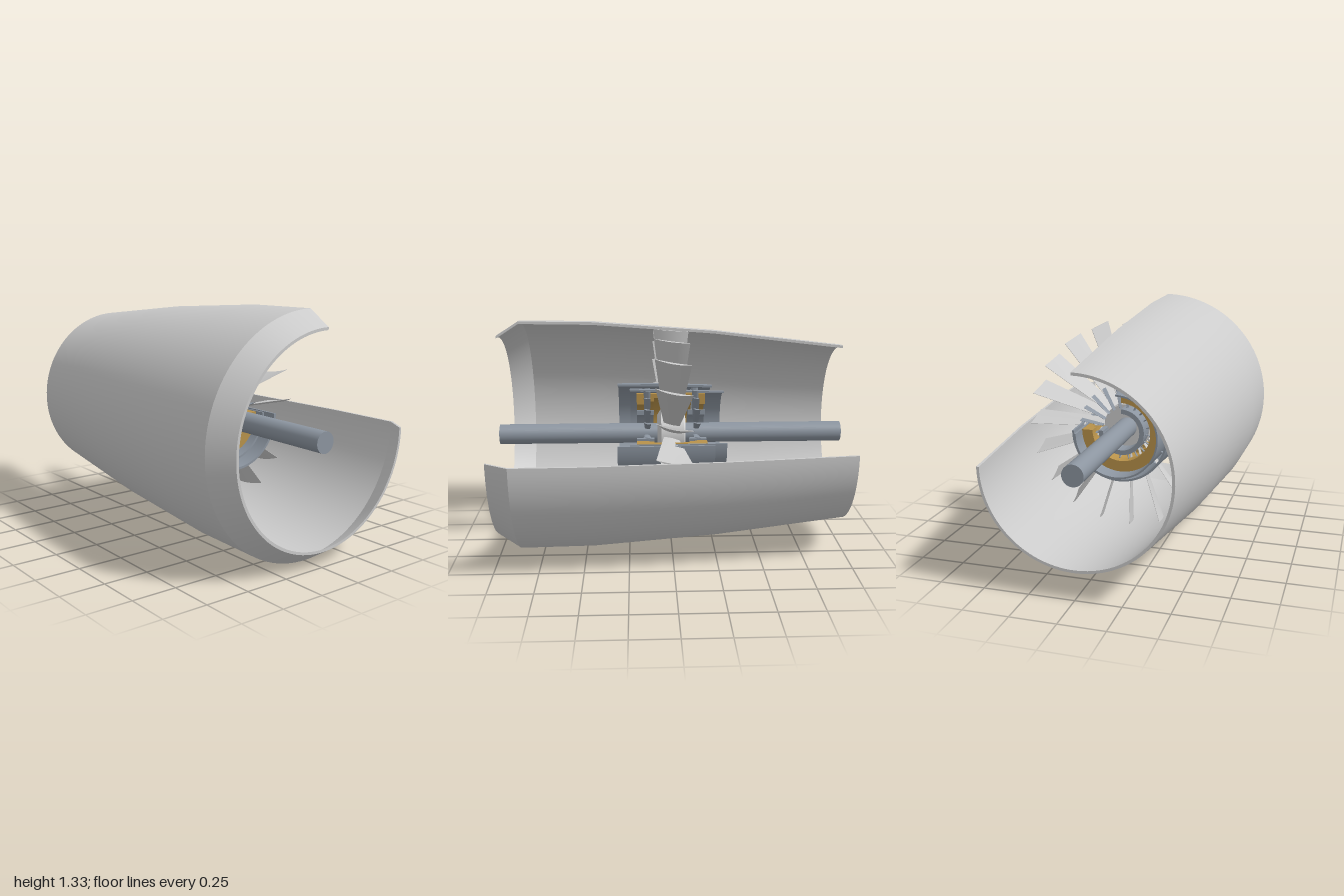
import * as THREE from 'three';
import { toCreasedNormals } from 'three/addons/utils/BufferGeometryUtils.js';

const material = (color) => new THREE.MeshStandardMaterial({ color, side: THREE.DoubleSide });
const grey = material(0xcccccc);
const steel = material(0x8c95a0);
const gold = material(0xb8924a);

function mesh(name, geometry, mat) {
  const m = new THREE.Mesh(geometry, mat);
  m.name = name;
  return m;
}

// Three-quarter ring around z from a closed [radius, z] section, upper +x quarter cut away
function cutRing(name, section, mat, segments = 72) {
  const group = new THREE.Group();
  group.name = name;
  const pts = section.map(([r, z]) => new THREE.Vector2(r, z));
  const wall = new THREE.LatheGeometry([...pts, pts[0].clone()], segments, Math.PI, Math.PI * 1.5);
  wall.rotateX(Math.PI / 2);
  group.add(mesh(name + 'Wall', toCreasedNormals(wall, 0.4), mat));
  for (const angle of [0, Math.PI / 2]) {
    const cap = new THREE.ShapeGeometry(new THREE.Shape(pts));
    cap.rotateX(Math.PI / 2).rotateZ(angle);
    group.add(mesh(name + 'CutFace', cap, mat));
  }
  return group;
}

// Rectangular section: inner radius, outer radius, back z, front z
const rect = (r0, r1, z0, z1) => [[r1, z0], [r1, z1], [r0, z1], [r0, z0]];

// Tapered, twisted blade pointing along +y, thin at leading and trailing edges
function bladeGeometry({ root, tip, rootChord, tipChord, thickness, rootLean, tipLean, tipSlope = 0 }) {
  const geo = new THREE.BoxGeometry(1, 1, 1, 1, 8, 6);
  const p = geo.attributes.position;
  for (let i = 0; i < p.count; i++) {
    const t = p.getY(i) + 0.5;
    const s = p.getZ(i) * 2;
    const z = s * THREE.MathUtils.lerp(rootChord, tipChord, t) / 2;
    const half = p.getX(i) * thickness * (1 - 0.85 * s * s);
    const camber = 0.05 * tipChord * t * (1 - s * s);
    const lean = -z * THREE.MathUtils.lerp(rootLean, tipLean, t);
    p.setXYZ(i, half + lean + camber, root + (tip - root) * t + z * tipSlope * t, z);
  }
  return toCreasedNormals(geo, 0.5);
}

// Even circle of blades around the shaft
function bladeRow(name, geo, count, offset, z, mat) {
  const row = new THREE.Group();
  row.name = name + 'Row';
  for (let i = 0; i < count; i++) {
    const blade = mesh(name, geo, mat);
    blade.rotation.z = offset + (i * Math.PI * 2) / count;
    blade.position.z = z;
    row.add(blade);
  }
  return row;
}

export function createModel() {
  const model = new THREE.Group();
  model.name = 'cutawayFanEngine';
  const engine = new THREE.Group();
  engine.name = 'engine';
  engine.position.y = 0.664;
  model.add(engine);

  // Outer cowling: chamfered intake, tapering to the rear
  const outer = [[0.512, -1], [0.56, -0.6], [0.602, -0.25], [0.656, 0.45], [0.663, 0.87], [0.58, 1]];
  const inner = outer.map(([r, z]) => [r - 0.015, z]).reverse();
  engine.add(cutRing('cowling', [...outer, ...inner], grey, 96));

  // Shaft and hub
  const shaft = new THREE.CylinderGeometry(0.058, 0.058, 2, 48).rotateX(Math.PI / 2);
  engine.add(mesh('shaft', shaft, steel));
  const hubProfile = [[0.058, -0.08], [0.135, -0.08], [0.14, -0.07], [0.14, 0.06], [0.105, 0.08], [0.058, 0.08]];
  const hub = new THREE.LatheGeometry(hubProfile.map(([r, z]) => new THREE.Vector2(r, z)), 64);
  engine.add(mesh('hub', toCreasedNormals(hub.rotateX(Math.PI / 2), 0.4), grey));

  // Core casings, one inside the other
  engine.add(cutRing('outerCasing', [
    [0.282, -0.24], [0.293, 0.05], [0.293, 0.31], [0.28, 0.31], [0.28, 0.05], [0.27, -0.24],
  ], steel));
  engine.add(cutRing('innerCasing', [
    [0.245, -0.31], [0.262, 0.24], [0.25, 0.24], [0.235, -0.31],
  ], steel));

  // Gold ring, stepped on its inside around the fan
  engine.add(cutRing('goldRing', [
    [0.235, -0.2], [0.235, 0.2], [0.172, 0.2], [0.172, 0.13], [0.19, 0.13], [0.19, 0.1], [0.21, 0.1],
    [0.21, -0.1], [0.19, -0.1], [0.19, -0.13], [0.172, -0.13], [0.172, -0.2],
  ], gold));

  // Sleeves in front of and behind the hub
  engine.add(cutRing('frontSleeve', rect(0.108, 0.135, 0.1, 0.2), steel));
  engine.add(cutRing('rearSleeve', rect(0.108, 0.135, -0.2, -0.1), steel));

  // Fan blades reach from hub to cowling
  const fan = bladeGeometry({
    root: 0.13, tip: 0.606, rootChord: 0.09, tipChord: 0.2,
    thickness: 0.012, rootLean: 0.25, tipLean: 0.19, tipSlope: 0.05,
  });
  engine.add(bladeRow('fanBlade', fan, 20, 0, 0, grey));

  // Short vanes either side of the fan
  const vane = bladeGeometry({
    root: 0.125, tip: 0.265, rootChord: 0.03, tipChord: 0.04,
    thickness: 0.008, rootLean: 0.2, tipLean: 0.2,
  });
  for (const z of [-0.14, 0.14]) {
    engine.add(bladeRow('coreVane', vane, 20, Math.PI / 20, z, steel));
  }
  return model;
}
